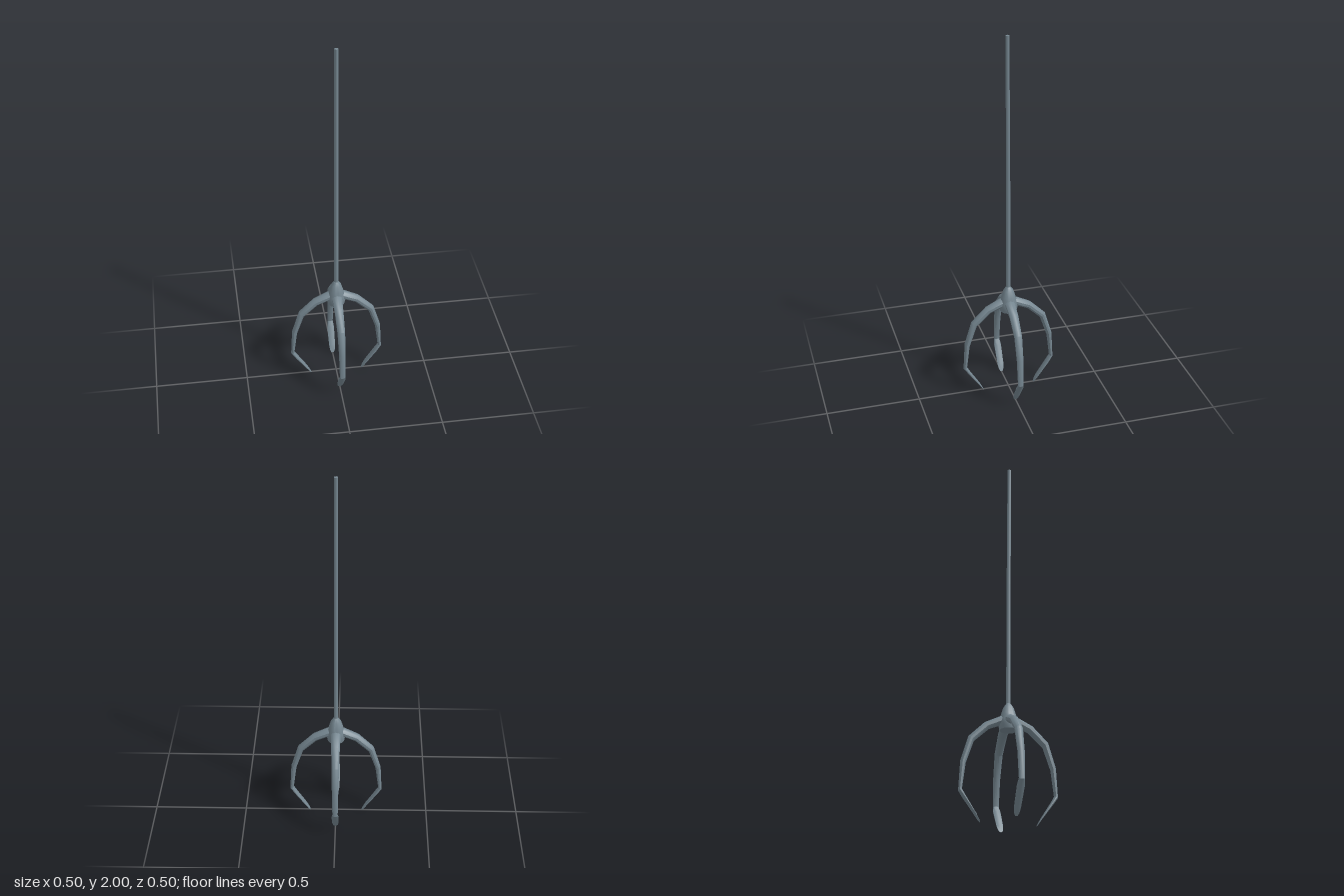
import * as THREE from 'three';
import { mergeVertices, toCreasedNormals } from 'three/addons/utils/BufferGeometryUtils.js';

const SIDES = 10;

// Skin over elliptical rings: [outerX, outerY, innerX, innerY, halfWidth]
function skinRings(rings) {
  const pos = [], index = [];
  for (const [ox, oy, ix, iy, w] of rings) {
    for (let j = 0; j < SIDES; j++) {
      const a = (j / SIDES) * Math.PI * 2;
      const c = Math.cos(a) / 2;
      pos.push((ox + ix) / 2 + (ox - ix) * c, (oy + iy) / 2 + (oy - iy) * c, w * Math.sin(a));
    }
  }
  for (let i = 0; i < rings.length - 1; i++) {
    for (let j = 0; j < SIDES; j++) {
      const k = (j + 1) % SIDES;
      const a = i * SIDES + j, b = i * SIDES + k, c = a + SIDES, d = b + SIDES;
      index.push(a, b, c, b, d, c);
    }
  }
  // end caps
  const last = (rings.length - 1) * SIDES;
  for (let j = 1; j < SIDES - 1; j++) {
    index.push(0, j + 1, j, last, last + j, last + j + 1);
  }
  const g = new THREE.BufferGeometry();
  g.setAttribute('position', new THREE.Float32BufferAttribute(pos, 3));
  g.setIndex(index);
  return toCreasedNormals(g, 0.66);
}

export function createModel() {
  const model = new THREE.Group();
  model.name = 'grabClaw';
  const steel = new THREE.MeshStandardMaterial({ color: 0x74858f, side: THREE.DoubleSide });
  steel.name = 'blueGreySteel';

  const add = (name, geometry, parent = model) => {
    const mesh = new THREE.Mesh(geometry, steel);
    mesh.name = name;
    parent.add(mesh);
    return mesh;
  };

  // Long pole, drifting very slightly towards the front at its tip
  const poleGeo = new THREE.CylinderGeometry(0.01, 0.012, 1.41, 10, 4);
  poleGeo.translate(0, 1.295, 0);
  const p = poleGeo.attributes.position;
  for (let i = 0; i < p.count; i++) {
    const t = (p.getY(i) - 0.59) / 1.41;
    p.setZ(i, p.getZ(i) + 0.005 * t * t);
  }
  poleGeo.computeVertexNormals();
  add('pole', poleGeo);

  // Hub where the prongs meet
  const hubProfile = [[0, 0.48], [0.045, 0.48], [0.05, 0.505], [0.048, 0.53], [0.038, 0.565],
    [0.027, 0.6], [0.012, 0.622], [0, 0.622]].map(([x, y]) => new THREE.Vector2(x, y));
  const hubGeo = new THREE.LatheGeometry(hubProfile, 12, Math.PI / 12);
  hubGeo.deleteAttribute('uv');
  hubGeo.deleteAttribute('normal');
  add('hub', toCreasedNormals(mergeVertices(hubGeo), 0.6));

  // Four curved prongs with flattened blade tips
  const prongGeo = skinRings([
    [0.01, 0.558, 0.005, 0.51, 0.028],
    [0.045, 0.551, 0.03, 0.507, 0.027],
    [0.122, 0.513, 0.1, 0.478, 0.024],
    [0.204, 0.432, 0.176, 0.407, 0.021],
    [0.243, 0.302, 0.215, 0.292, 0.018],
    [0.251, 0.15, 0.232, 0.158, 0.015],
  ]);
  const bladeGeo = skinRings([
    [0.251, 0.15, 0.232, 0.158, 0.015],
    [0.23, 0.12, 0.216, 0.129, 0.02],
    [0.168, 0.036, 0.161, 0.041, 0.018],
    [0.152, 0.013, 0.148, 0.016, 0.014],
    [0.143, 0, 0.141, 0.002, 0.007],
  ]);
  for (let i = 0; i < 4; i++) {
    const prong = new THREE.Group();
    prong.name = ['left', 'back', 'right', 'front'][i] + 'Prong';
    add('prongArm', prongGeo, prong);
    add('prongBlade', bladeGeo, prong);
    prong.rotation.y = (i * Math.PI) / 2;
    model.add(prong);
  }
  return model;
}
